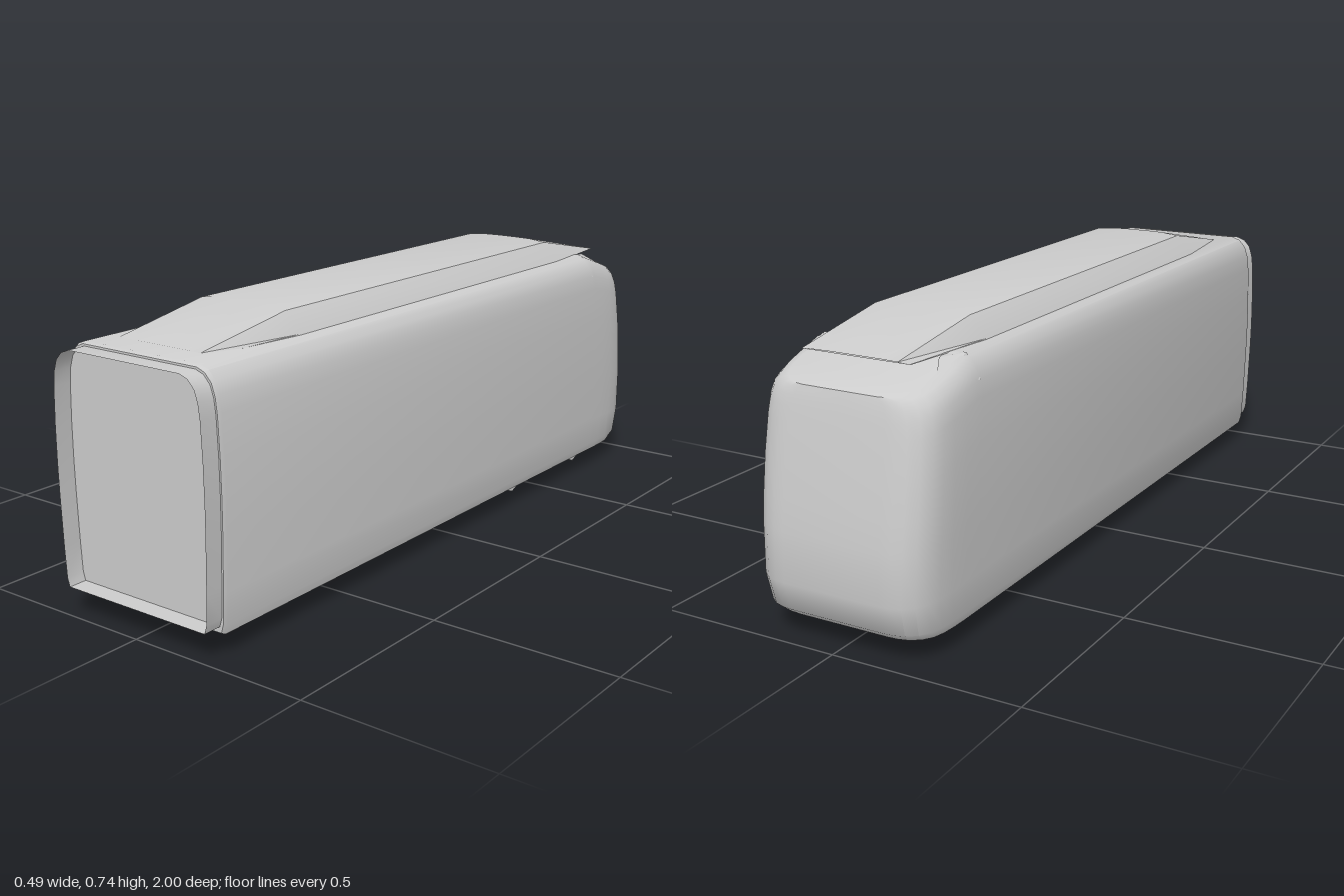
import * as THREE from 'three';
import { toCreasedNormals } from 'three/addons/utils/BufferGeometryUtils.js';

const grey = new THREE.MeshStandardMaterial({ color: 0xcccccc, side: THREE.DoubleSide });
grey.name = 'body grey';

// right half of the car's cross-section, bottom to top
const HALF = [[0.23, 0.055], [0.237, 0.078], [0.241, 0.16], [0.245, 0.3], [0.246, 0.38], [0.245, 0.48],
  [0.241, 0.58], [0.236, 0.62], [0.226, 0.65], [0.207, 0.671], [0.183, 0.68]];
const FLOOR = 0.055, ROOF = 0.68;

const mirror = (half) => [...half, ...half.slice().reverse().map(([x, ...rest]) => [-x, ...rest])];

// skin over closed rings of [x, y, z], ordered from +z to -z
function loft(rings, crease) {
  const n = rings[0].length, index = [];
  for (let i = 0; i < rings.length - 1; i++) {
    for (let j = 0; j < n; j++) {
      const a = i * n + j, b = i * n + (j + 1) % n, c = a + n, d = b + n;
      index.push(a, c, b, b, c, d);
    }
  }
  const geo = new THREE.BufferGeometry();
  geo.setAttribute('position', new THREE.Float32BufferAttribute(rings.flat(2), 3));
  geo.setIndex(index);
  return toCreasedNormals(geo, crease);
}

function add(parent, name, geo) {
  const mesh = new THREE.Mesh(geo, grey);
  mesh.name = name;
  parent.add(mesh);
  return mesh;
}

// linear interpolation through [key, value] pairs
function table(pairs, k) {
  for (let i = 1; i < pairs.length; i++) {
    const [k0, v0] = pairs[i - 1], [k1, v1] = pairs[i];
    if (k <= k1) return v0 + (v1 - v0) * Math.max(0, (k - k0) / (k1 - k0));
  }
  return pairs[pairs.length - 1][1];
}

// depth of the leaning rear face at each height
const REAR = [[0.055, -0.955], [0.078, -0.982], [0.13, -0.997], [0.19, -1], [0.3, -0.988], [0.45, -0.966], [0.58, -0.942], [0.615, -0.933]];
// nose rings: share of the way to the rear face, and width scale
const NOSE = [[0.08, 1], [0.3, 1], [0.5, 0.995], [0.66, 0.98], [0.79, 0.945], [0.89, 0.875], [0.96, 0.77], [0.99, 0.66], [1, 0.55], [1, 0]];

function bodyGeometry() {
  const ring = (z, s) => mirror(HALF.map(([x, y]) => [x * s, 0.36 + (y - 0.36) * s, z]));
  const rings = [ring(0.95, 0.985), ring(0.94, 1), ring(-0.72, 1)];
  for (const [f, w] of NOSE) {
    rings.push(mirror(HALF.map(([x, y]) => {
      const t = (y - FLOOR) / (ROOF - FLOOR);
      const drop = 0.065 * Math.max(0, (f - 0.08) / 0.92);
      const back = table(REAR, FLOOR + t * 0.56);
      return [x * w, y - t * drop, -0.72 + (back + 0.72) * f];
    })));
  }
  return loft(rings, 0.65);
}

// raised roof housing with sloping ends
function fairingGeometry() {
  const mid = [[0.183, 0.678], [0.181, 0.682], [0.135, 0.733], [0.08, 0.739], [0.03, 0.74]];
  const end = [[0.15, 0.678], [0.149, 0.679], [0.115, 0.68], [0.07, 0.681], [0.03, 0.681]];
  const at = (half, z) => mirror(half.map(([x, y]) => [x, y, z]));
  return loft([at(end, 0.87), at(mid, 0.6), at(mid, -0.6), at(end, -0.87)], 0.5);
}

// small faceted shoulder between roof housing and nose
function shoulderGeometry(side) {
  const p = [[0.15, 0.678, -0.72], [0.2, 0.679, -0.72], [0.238, 0.62, -0.72], [0.165, 0.676, -0.78], [0.205, 0.628, -0.86]];
  const geo = new THREE.BufferGeometry();
  geo.setAttribute('position', new THREE.Float32BufferAttribute(p.flatMap(([x, y, z]) => [x * side, y, z]), 3));
  const faces = [[0, 1, 3], [1, 4, 3], [1, 2, 4]];
  geo.setIndex(faces.flatMap(([a, b, c]) => (side > 0 ? [a, b, c] : [a, c, b])));
  const flat = geo.toNonIndexed();
  flat.computeVertexNormals();
  return flat;
}

export function createModel() {
  const car = new THREE.Group();
  car.name = 'railCar';

  add(car, 'body', bodyGeometry());
  add(car, 'roofFairing', fairingGeometry());
  for (const side of [1, -1]) add(car, side > 0 ? 'leftShoulder' : 'rightShoulder', shoulderGeometry(side));

  // end wall closing the coupling end
  const outline = mirror(HALF.map(([x, y]) => [x * 0.985, 0.36 + (y - 0.36) * 0.985]));
  const wall = new THREE.Shape(outline.map(([x, y]) => new THREE.Vector2(x, y)));
  add(car, 'endWall', new THREE.ShapeGeometry(wall)).position.z = 0.95;

  // open gangway frame standing proud of the end wall
  const frame = (z) => mirror(HALF.map(([x, y]) => [x * 0.967, 0.075 + (y - FLOOR) * 0.952, z]));
  add(car, 'gangwayFrame', loft([frame(1), frame(0.95)], 0.65));

  // wheels peeking out below the floor
  for (const z of [-0.4, -0.77]) {
    for (const x of [0.155, -0.155]) {
      const geo = new THREE.CylinderGeometry(0.056, 0.056, 0.02, 8).rotateZ(Math.PI / 2);
      const wheel = add(car, 'wheel', toCreasedNormals(geo, 0.9));
      wheel.position.set(x, 0.056, z);
    }
  }
  return car;
}
